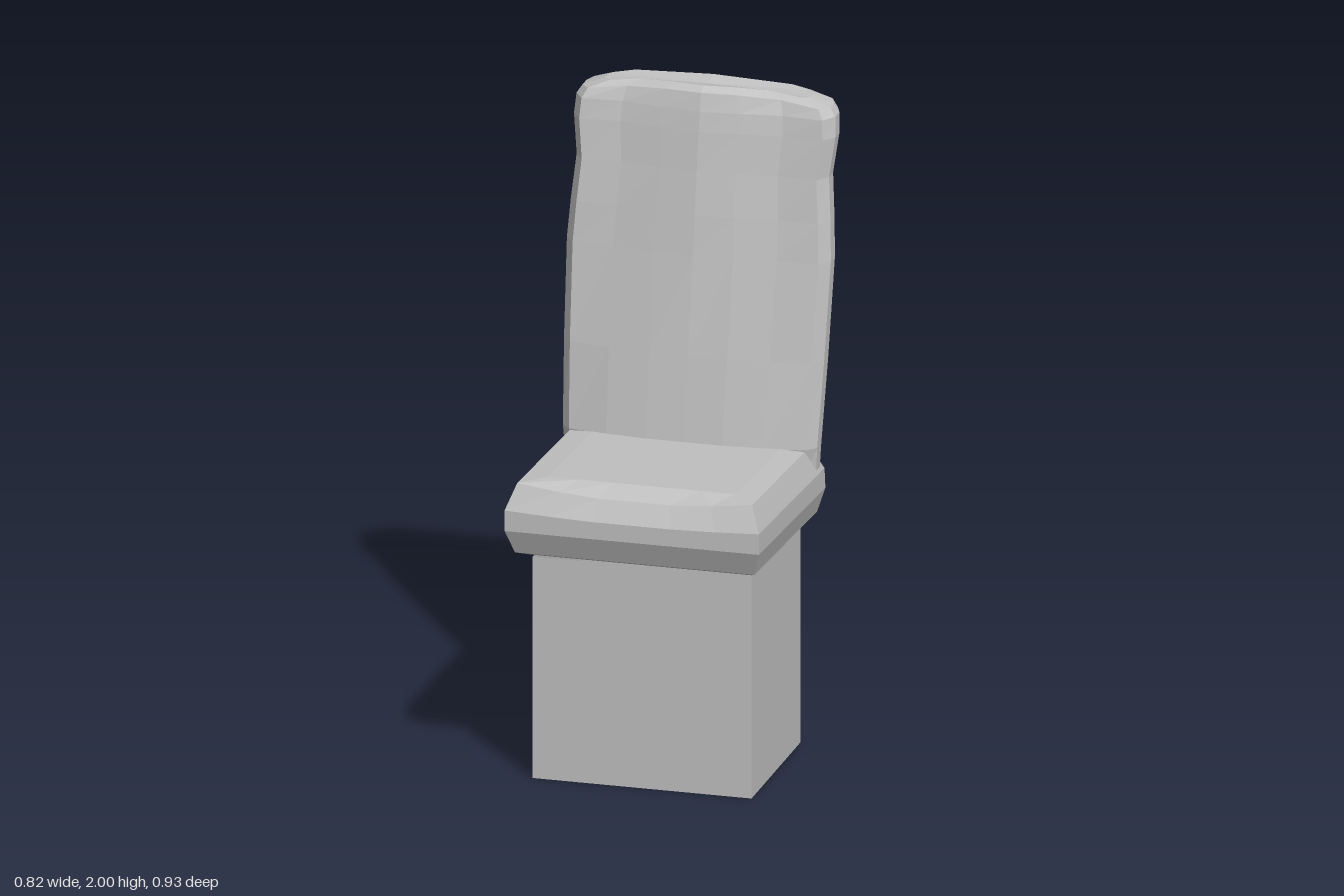
import * as THREE from 'three';

// Skin closed rings (counter-clockwise from above, listed bottom to top) and cap both ends
function loft(rings) {
  const n = rings[0].length, pos = [], idx = [];
  rings.forEach(r => r.forEach(p => pos.push(...p)));
  for (let k = 0; k < rings.length - 1; k++) {
    for (let i = 0; i < n; i++) {
      const a = k * n + i, b = k * n + (i + 1) % n;
      idx.push(a, b, b + n, a, b + n, a + n);
    }
  }
  [0, rings.length - 1].forEach(k => {
    const c = pos.length / 3, j = k * n;
    pos.push(...[0, 1, 2].map(d => rings[k].reduce((s, p) => s + p[d] / n, 0)));
    for (let i = 0; i < n; i++) {
      const a = j + i, b = j + (i + 1) % n;
      if (k === 0) idx.push(c, b, a); else idx.push(c, a, b);
    }
  });
  const g = new THREE.BufferGeometry();
  g.setAttribute('position', new THREE.Float32BufferAttribute(pos, 3));
  g.setIndex(idx);
  g.computeVertexNormals();
  return g;
}

// Seat ring: slightly tilted rectangle whose front edge may sag in the middle
function seatRing([y, w, zFront, zBack, sag]) {
  const xs = [-1, -0.65, -0.3, 0.3, 0.65, 1];
  const front = xs.map(u => [u * w, y + 0.04 * zFront - sag * (1 - u * u), zFront]);
  const back = [...xs].reverse().map(u => [u * w, y + 0.04 * zBack, zBack]);
  return [...front, ...back];
}

// Backrest ring: curved front, rounded sides, flat rear
function backRing([y, zFront, zBack, w, crown = 0]) {
  const t = Math.max(0, (y - 0.94) / 1.06);
  const d = zBack - zFront;
  const bow = (low, high) => zFront - (low + (high - low) * t);
  const half = [
    [0.3, bow(0, 0.015)], [0.62, bow(0.012, 0.033)], [0.93, bow(0.035, 0.022)],
    [1, zFront + d * 0.36], [1, zFront + d * 0.6], [0.96, zFront + d * 0.82], [0.76, zBack],
  ];
  const at = (u, z) => [u * w, y - crown * (u * w) ** 2, z];
  return [
    at(0, zFront), ...half.map(([u, z]) => at(u, z)),
    at(0, zBack + 0.008 * t), ...[...half].reverse().map(([u, z]) => at(-u, z)),
  ];
}

export function createModel() {
  const group = new THREE.Group();
  const grey = new THREE.MeshStandardMaterial({ color: 0xc0c0c0, flatShading: true, side: THREE.DoubleSide });
  grey.name = 'grey';
  const add = (geometry, name) => {
    const mesh = new THREE.Mesh(geometry, grey);
    mesh.name = name;
    group.add(mesh);
  };

  // Pedestal: four walls, open underneath
  const x = 0.34, zf = 0.35, zb = -0.18;
  const outline = [[-x, zf], [x, zf], [x, zb], [-x, zb]];
  const walls = new THREE.BufferGeometry();
  const corners = [0, 0.7].flatMap(y => outline.map(([px, pz]) => [px, y, pz]));
  walls.setAttribute('position', new THREE.Float32BufferAttribute(corners.flat(), 3));
  walls.setIndex([0, 1, 2, 3].flatMap(i => {
    const j = (i + 1) % 4;
    return [i, j, j + 4, i, j + 4, i + 4];
  }));
  walls.computeVertexNormals();
  add(walls, 'pedestal');

  // Seat cushion: y, half width, front z, back z, front sag
  add(loft([
    [0.692, 0.34, 0.35, -0.2, 0],
    [0.72, 0.372, 0.43, -0.25, 0],
    [0.795, 0.395, 0.463, -0.26, 0],
    [0.86, 0.395, 0.463, -0.25, 0.012],
    [0.94, 0.365, 0.43, -0.2, 0.028],
    [0.947, 0.29, 0.36, -0.19, 0],
  ].map(seatRing)), 'seat');

  // Backrest: y, front z, back z, half width, crown
  add(loft([
    [0.69, -0.16, -0.22, 0.345],
    [0.715, -0.15, -0.27, 0.372],
    [0.795, -0.14, -0.288, 0.395],
    [0.86, -0.12, -0.278, 0.39],
    [0.94, -0.103, -0.29, 0.395],
    [1.2, -0.147, -0.334, 0.404],
    [1.5, -0.2, -0.385, 0.41],
    [1.62, -0.22, -0.405, 0.403],
    [1.75, -0.243, -0.428, 0.392],
    [1.87, -0.263, -0.448, 0.406],
    [1.93, -0.275, -0.463, 0.402],
    [1.985, -0.29, -0.457, 0.385, 0.2],
    [2.0, -0.315, -0.432, 0.32, 0.2],
  ].map(backRing)), 'backrest');

  return group;
}
